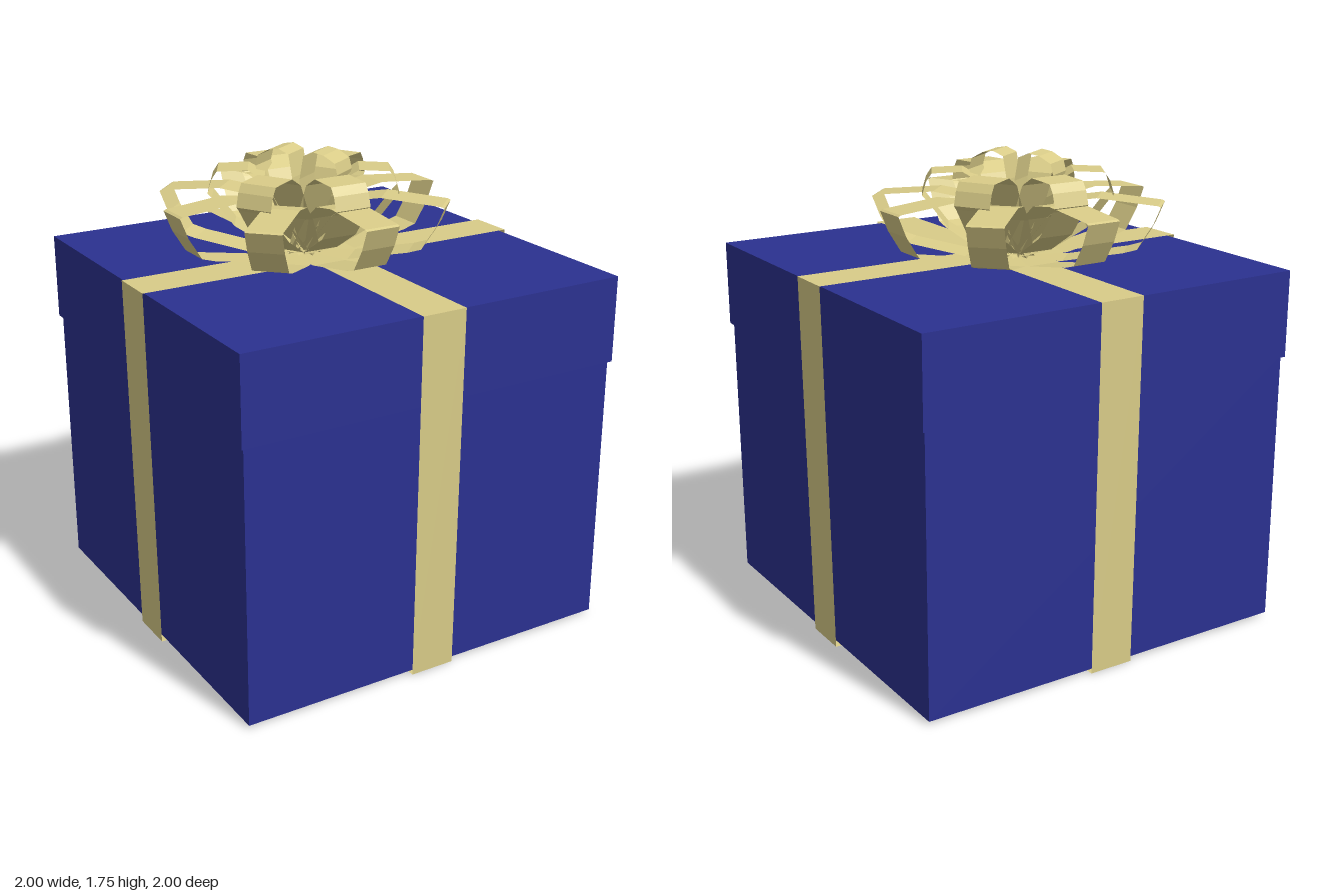
import * as THREE from 'three';

const blue = new THREE.MeshStandardMaterial({ color: 0x2b3190 });
const gold = new THREE.MeshStandardMaterial({ color: 0xd9cc88, side: THREE.DoubleSide, flatShading: true });

// Flat ribbon of a given width following [x, y] points
function ribbon(points, width, name) {
  const pos = [];
  const h = width / 2;
  for (let i = 0; i < points.length - 1; i++) {
    const [ax, ay] = points[i];
    const [bx, by] = points[i + 1];
    pos.push(ax, ay, h, ax, ay, -h, bx, by, -h);
    pos.push(ax, ay, h, bx, by, -h, bx, by, h);
  }
  const geo = new THREE.BufferGeometry();
  geo.setAttribute('position', new THREE.Float32BufferAttribute(pos, 3));
  geo.computeVertexNormals();
  const mesh = new THREE.Mesh(geo, gold);
  mesh.name = name;
  return mesh;
}

// Square block from y0 to y1
function block(half, y0, y1, name) {
  const mesh = new THREE.Mesh(new THREE.BoxGeometry(half * 2, y1 - y0, half * 2), blue);
  mesh.position.y = (y0 + y1) / 2;
  mesh.name = name;
  return mesh;
}

export function createModel() {
  const model = new THREE.Group();
  model.name = 'giftBox';

  // Box, lid and the two crossing bands, turned on the ground
  const box = new THREE.Group();
  box.name = 'wrappedBox';
  box.rotation.y = 0.426;
  box.add(block(0.743, 0.013, 1.04, 'boxBody'), block(0.754, 1.035, 1.355, 'lid'));
  for (let i = 0; i < 2; i++) {
    const top = 1.362 - i * 0.002;
    const bottom = i * 0.002;
    const band = ribbon([[-0.755, bottom], [0.755, bottom], [0.768, top], [-0.768, top], [-0.755, bottom]],
      0.172, i ? 'crossBand' : 'longBand');
    band.rotation.y = i * Math.PI / 2;
    box.add(band);
  }
  model.add(box);

  // Bow: three tiers of loops around one centre
  const bow = new THREE.Group();
  bow.name = 'bow';
  bow.position.set(-0.07, 0, -0.034);
  const tiers = [
    { name: 'outerLoop', count: 8, start: 20.6, width: 0.132,
      path: [[0, 1.364], [0.18, 1.366], [0.4, 1.405], [0.45, 1.42], [0.5, 1.5], [0.53, 1.575], [0.52, 1.58],
        [0.3, 1.6], [0.2, 1.585], [0.12, 1.52], [0, 1.364]] },
    { name: 'middleLoop', count: 6, start: 6, width: 0.14,
      path: [[0, 1.37], [0.12, 1.4], [0.25, 1.48], [0.33, 1.585], [0.345, 1.6], [0.33, 1.65], [0.31, 1.68],
        [0.2, 1.685], [0.14, 1.65], [0.08, 1.53], [0, 1.37]] },
    { name: 'topLoop', count: 2, start: 33, width: 0.12,
      path: [[0, 1.38], [0.08, 1.48], [0.14, 1.6], [0.165, 1.68], [0.155, 1.72], [0.11, 1.745], [0.07, 1.752],
        [0.03, 1.735], [0.015, 1.65], [0, 1.38]] },
  ];
  for (const { name, count, start, width, path } of tiers) {
    for (let i = 0; i < count; i++) {
      const loop = ribbon(path, width, name);
      loop.rotation.y = -THREE.MathUtils.degToRad(start + (i * 360) / count);
      bow.add(loop);
    }
  }
  model.add(bow);
  return model;
}
